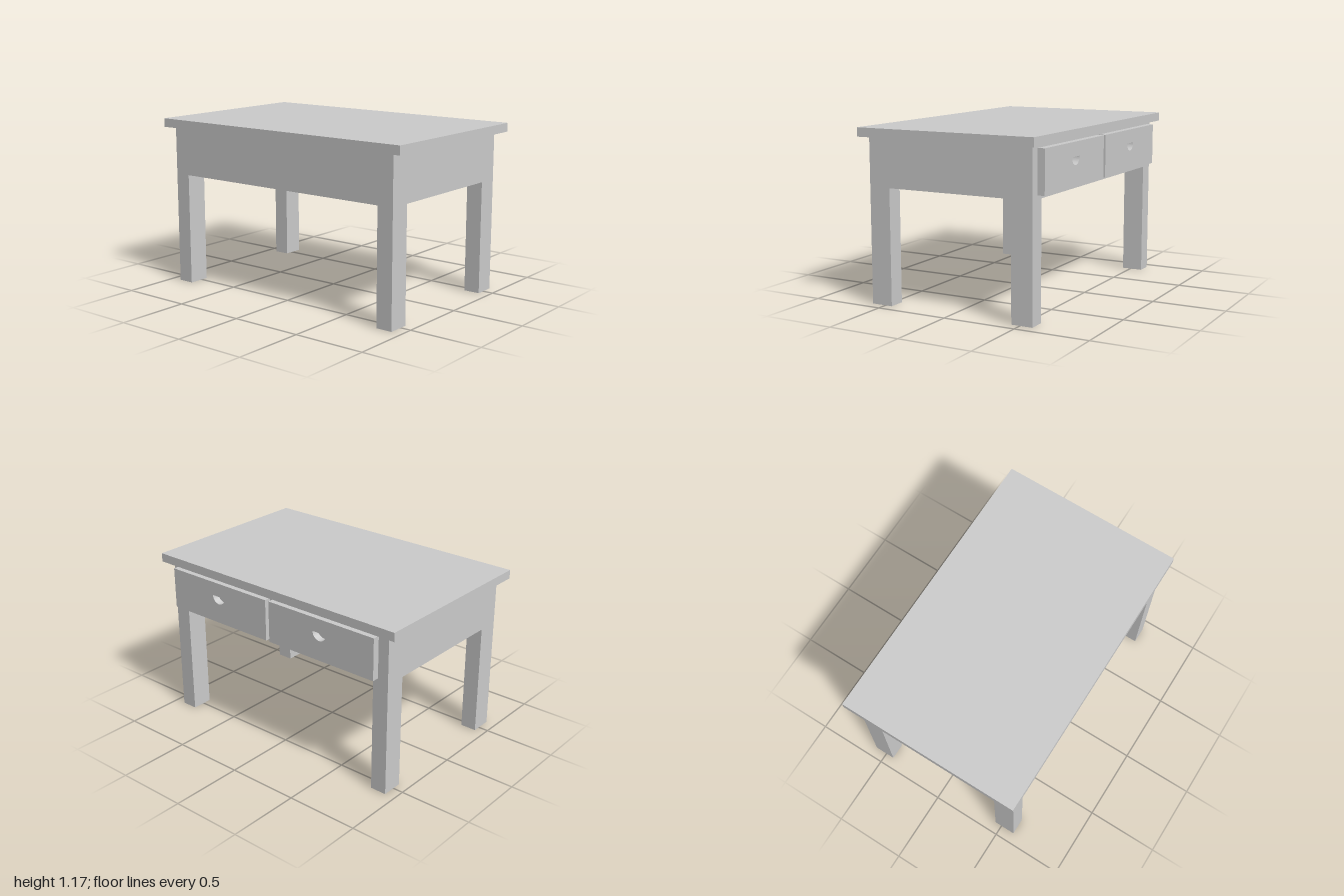
import * as THREE from 'three';

const material = new THREE.MeshStandardMaterial({ color: 0xcccccc, flatShading: true });

// Box given by its lower and upper limits on each axis
function box(name, [x0, x1], [y0, y1], [z0, z1]) {
  const mesh = new THREE.Mesh(new THREE.BoxGeometry(x1 - x0, y1 - y0, z1 - z0), material);
  mesh.name = name;
  mesh.position.set((x0 + x1) / 2, (y0 + y1) / 2, (z0 + z1) / 2);
  return mesh;
}

// Drawer front with a half-round finger hole, flat side up
function drawer(name, x0, x1) {
  const y0 = 0.805, y1 = 1.09, z0 = -0.64, depth = 0.048;
  const holeX = (x0 + x1) / 2, holeY = 0.995, holeRadius = 0.054;
  const panel = new THREE.Shape([
    new THREE.Vector2(x0, y0), new THREE.Vector2(x1, y0),
    new THREE.Vector2(x1, y1), new THREE.Vector2(x0, y1),
  ]);
  const hole = new THREE.Path();
  hole.absarc(holeX, holeY, holeRadius, Math.PI, Math.PI * 2, false);
  hole.closePath();
  panel.holes.push(hole);
  const geometry = new THREE.ExtrudeGeometry(panel, { depth, bevelEnabled: false, curveSegments: 16 });
  const mesh = new THREE.Mesh(geometry, material);
  mesh.name = name;
  mesh.position.z = z0;
  return mesh;
}

export function createModel() {
  const table = new THREE.Group();
  table.name = 'table';

  // Overhanging top and the solid apron under it
  const apronBottom = 0.778, topBottom = 1.107;
  table.add(box('tableTop', [-1, 1], [topBottom, 1.167], [-0.632, 0.64]));
  table.add(box('apron', [-0.928, 0.926], [apronBottom, topBottom], [-0.586, 0.6]));

  // Four square-cut legs, flush with the apron corners
  for (const [side, x] of [['right', [-0.928, -0.815]], ['left', [0.812, 0.926]]]) {
    table.add(box(side + 'FrontLeg', x, [0, apronBottom], [0.45, 0.6]));
    table.add(box(side + 'BackLeg', x, [0, apronBottom], [-0.586, -0.44]));
  }

  // Two drawer fronts side by side on the back
  table.add(drawer('rightDrawer', -0.856, -0.006));
  table.add(drawer('leftDrawer', 0.022, 0.874));

  return table;
}
